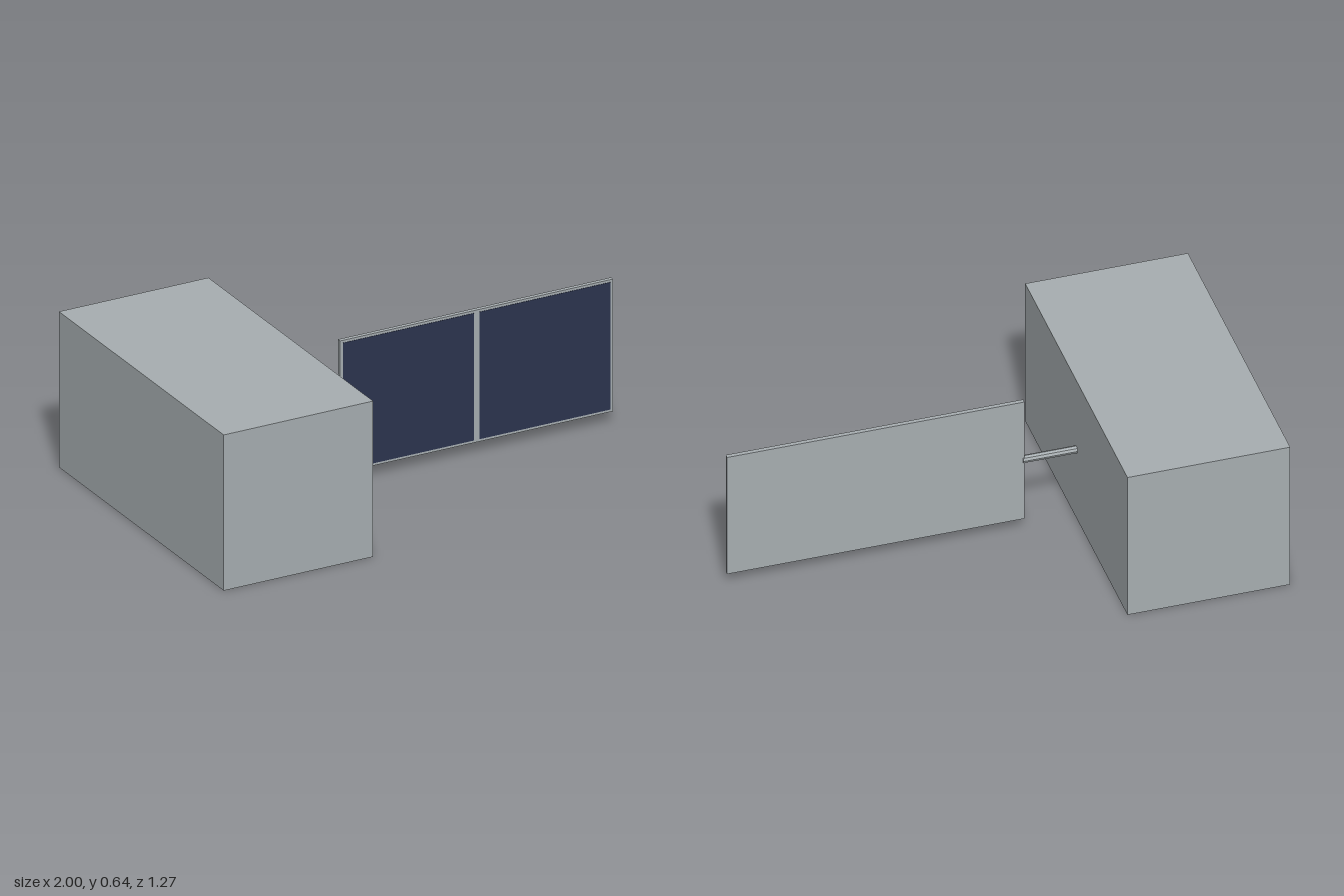
import * as THREE from 'three';

export function createModel() {
  const model = new THREE.Group();
  const hullGrey = new THREE.MeshStandardMaterial({ name: 'hullGrey', color: 0xa7aeb1, flatShading: true });
  const cellBlue = new THREE.MeshStandardMaterial({ name: 'cellBlue', color: 0x2c344f, flatShading: true });

  const add = (name, geometry, material, x, y, z) => {
    const mesh = new THREE.Mesh(geometry, material);
    mesh.name = name;
    mesh.position.set(x, y, z);
    model.add(mesh);
    return mesh;
  };

  const axisY = 0.318;

  // Main body
  add('body', new THREE.BoxGeometry(0.635, 0.636, 1.272), hullGrey, -0.6825, axisY, 0);

  // Boom joining the body to the panel
  const boom = add('boom', new THREE.CylinderGeometry(0.015, 0.015, 0.215, 8), hullGrey, -0.2625, axisY, 0);
  boom.rotation.z = Math.PI / 2;

  // Panel frame with two thin solar cells on its front
  add('panelFrame', new THREE.BoxGeometry(1.16, 0.54, 0.017), hullGrey, 0.42, axisY, 0);
  for (const side of [-1, 1]) {
    add(side < 0 ? 'innerSolarCell' : 'outerSolarCell',
      new THREE.BoxGeometry(0.556, 0.52, 0.003), cellBlue, 0.42 + side * 0.29, axisY, 0.0085);
  }

  return model;
}
